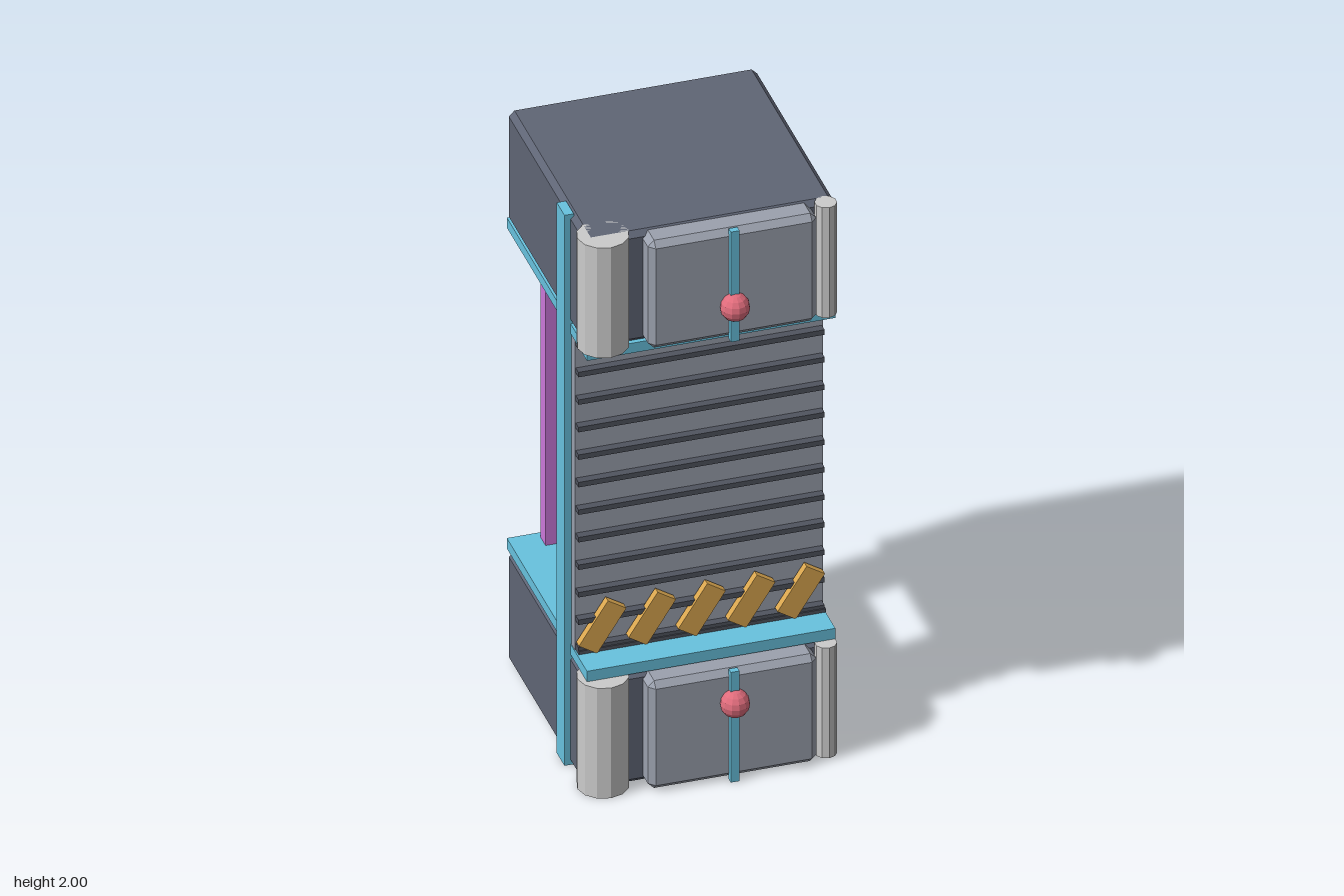
import * as THREE from 'three';
import { ConvexGeometry } from 'three/addons/geometries/ConvexGeometry.js';

const mat = (color, extra = {}) => new THREE.MeshStandardMaterial({ color, flatShading: true, ...extra });
const M = {
  dark: mat(0x5f6575), grey: mat(0x9ba1ae), light: mat(0xcccccc), blue: mat(0x68c2de),
  purple: mat(0xcc78da), red: mat(0xe06c7c), gold: mat(0xdca850), rib: mat(0x50545f),
  tube: mat(0xcccccc, { flatShading: false }),
};

function add(parent, name, geometry, material, x = 0, y = 0, z = 0) {
  const mesh = new THREE.Mesh(geometry, material);
  mesh.name = name;
  mesh.position.set(x, y, z);
  parent.add(mesh);
  return mesh;
}

// Box given by its extents along each axis
function box(parent, name, material, [x0, x1], [y0, y1], [z0, z1]) {
  return add(parent, name, new THREE.BoxGeometry(x1 - x0, y1 - y0, z1 - z0), material,
    (x0 + x1) / 2, (y0 + y1) / 2, (z0 + z1) / 2);
}

// Box with every edge chamfered by c
function chamferBox(parent, name, material, [x0, x1], [y0, y1], [z0, z1], c) {
  const w = (x1 - x0) / 2, h = (y1 - y0) / 2, d = (z1 - z0) / 2, pts = [];
  for (const i of [-1, 1]) for (const j of [-1, 1]) for (const k of [-1, 1]) {
    pts.push(new THREE.Vector3(i * w, j * (h - c), k * (d - c)),
      new THREE.Vector3(i * (w - c), j * h, k * (d - c)),
      new THREE.Vector3(i * (w - c), j * (h - c), k * d));
  }
  return add(parent, name, new ConvexGeometry(pts), material,
    (x0 + x1) / 2, (y0 + y1) / 2, (z0 + z1) / 2);
}

// Dark end block with its door, columns, strip and knob
function endBlock(name, y, knobY) {
  const g = new THREE.Group();
  g.name = name;
  const h = [y, y + 0.4];
  chamferBox(g, 'block', M.dark, [-0.39, 0.41], h, [-0.463, 0.335], 0.018);
  chamferBox(g, 'door', M.grey, [-0.21, 0.333], [y + 0.005, y + 0.395], [0.3, 0.404], 0.02);
  add(g, 'largeColumn', new THREE.CylinderGeometry(0.082, 0.082, 0.4, 12), M.light, -0.331, y + 0.2, 0.31);
  add(g, 'smallColumn', new THREE.CylinderGeometry(0.035, 0.035, 0.4, 10), M.light, 0.376, y + 0.2, 0.345);
  box(g, 'doorStrip', M.blue, [0.046, 0.074], h, [0.398, 0.42]);
  add(g, 'knob', new THREE.SphereGeometry(0.047, 12, 8), M.red, 0.06, knobY, 0.418);
  return g;
}

export function createModel() {
  const root = new THREE.Group();
  root.name = 'kiosk';
  root.add(endBlock('lowerBlock', 0, 0.285), endBlock('upperBlock', 1.6, 1.725));

  // Floor and ceiling plates, and the full-height side post
  box(root, 'floorPlate', M.blue, [-0.39, 0.41], [0.4, 0.438], [-0.465, 0.335]);
  box(root, 'ceilingPlate', M.blue, [-0.39, 0.41], [1.566, 1.602], [-0.465, 0.335]);
  box(root, 'sidePost', M.blue, [-0.41, -0.38], [0, 2], [0.095, 0.172]);

  // Ribbed shutter with slanted warning stripes
  const shutter = new THREE.Group();
  shutter.name = 'shutter';
  root.add(shutter);
  box(shutter, 'shutterPanel', M.grey, [-0.388, 0.411], [0.405, 1.598], [0.16, 0.207]);
  for (let i = 0; i < 12; i++) {
    const y = 0.453 + i * 0.1;
    box(shutter, 'shutterRib', M.rib, [-0.385, 0.408], [y - 0.009, y + 0.009], [0.2, 0.234]);
  }
  box(shutter, 'bottomBar', M.rib, [-0.385, 0.411], [0.41, 0.45], [0.2, 0.238]);
  for (let i = 0; i < 5; i++) {
    const stripe = add(shutter, 'warningStripe', new THREE.BoxGeometry(0.07, 0.174, 0.026),
      M.gold, -0.31 + i * 0.16, 0.527, 0.23);
    stripe.rotation.z = -0.57;
  }

  // Back panel carrying bent tubes on its inner face
  box(root, 'backPanel', M.purple, [-0.29, 0.415], [0.438, 1.568], [-0.437, -0.388]);
  const tubes = [
    ['bentTubeOuter', 0.017, [[0.34, 1.21], [0.34, 0.99], [0.29, 0.87], [0.19, 0.815], [0.09, 0.87], [0.04, 0.97], [0.03, 1.1]]],
    ['bentTubeInner', 0.017, [[-0.1, 1.31], [0.0, 1.31], [0.08, 1.25], [0.145, 1.15], [0.155, 1.06], [0.115, 0.98]]],
    ['bentTubeLower', 0.013, [[0.05, 0.54], [-0.03, 0.6], [-0.08, 0.7], [-0.1, 0.8]]],
  ];
  for (const [name, r, path] of tubes) {
    const curve = new THREE.CatmullRomCurve3(path.map(([x, y]) => new THREE.Vector3(x, y, -0.371)));
    add(root, name, new THREE.TubeGeometry(curve, 24, r, 8), M.tube);
    // Rounded tube ends
    for (const [x, y] of [path[0], path[path.length - 1]]) {
      add(root, 'tubeEnd', new THREE.SphereGeometry(r, 8, 6), M.tube, x, y, -0.371);
    }
  }
  return root;
}
